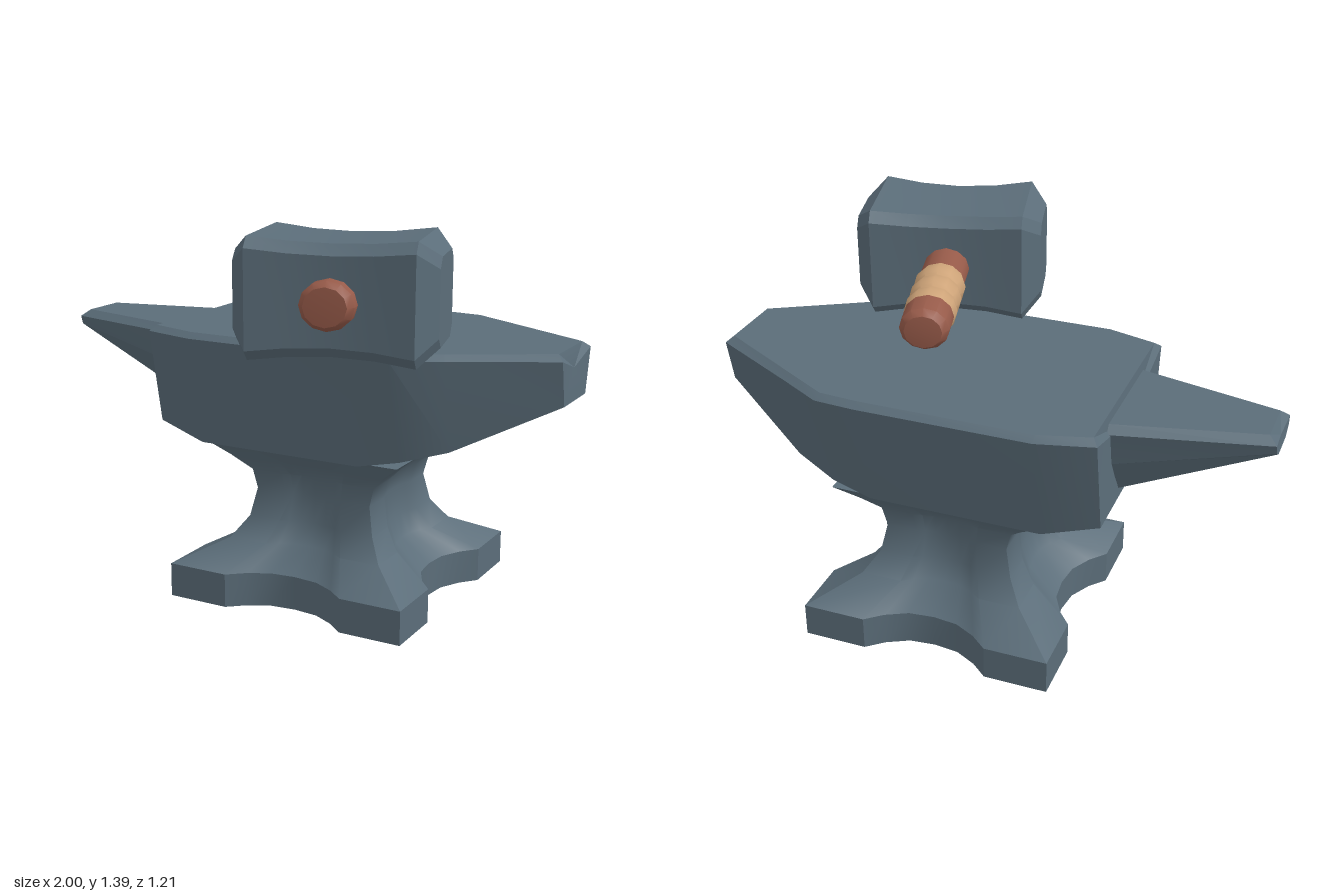
import * as THREE from 'three';
import { toCreasedNormals } from 'three/addons/utils/BufferGeometryUtils.js';

// Skin a list of rings (each counter-clockwise seen from the last ring's end) and cap both ends.
function loft(rings, crease) {
  const pos = [];
  const tri = (...pts) => pts.forEach((p) => pos.push(p[0], p[1], p[2]));
  const n = rings[0].length;
  const centre = (ring) => [0, 1, 2].map((k) => ring.reduce((s, p) => s + p[k], 0) / n);
  const first = rings[0], last = rings[rings.length - 1];
  const c0 = centre(first), c1 = centre(last);
  for (let i = 0; i < n; i++) {
    const j = (i + 1) % n;
    for (let r = 0; r < rings.length - 1; r++) {
      const a = rings[r], b = rings[r + 1];
      tri(a[i], a[j], b[j]);
      tri(a[i], b[j], b[i]);
    }
    tri(c0, first[j], first[i]);
    tri(c1, last[i], last[j]);
  }
  const g = new THREE.BufferGeometry();
  g.setAttribute('position', new THREE.Float32BufferAttribute(pos, 3));
  g.computeVertexNormals();
  return toCreasedNormals(g, crease);
}

// Ring across the x axis from [x, y, halfWidth] points listed top to bottom, mirrored in z.
function mirrorRing(half) {
  return [
    ...half.map(([x, y, h]) => [x, y, h]),
    ...half.slice().reverse().map(([x, y, h]) => [x, y, -h]),
  ];
}

// Four-footed plan: a rectangle whose sides are scooped inwards by the given depth.
function footRing(y, hx, hz, depth) {
  const side = [[-1, 0], [-0.5, 0], [-0.37, 0.5], [-0.2, 0.9], [0, 1], [0.2, 0.9], [0.37, 0.5], [0.5, 0]];
  const ring = [];
  for (let k = 0; k < 4; k++) {
    for (const [t, d] of side) {
      let x = t, z = 1 - d * depth;
      for (let q = 0; q < k; q++) [x, z] = [z, -x];
      ring.push([x * hx, y, z * hz]);
    }
  }
  return ring;
}

export function createModel() {
  const steel = new THREE.MeshStandardMaterial({ color: 0x5b6d79 });
  steel.name = 'steel';
  const wood = new THREE.MeshStandardMaterial({ color: 0x965a49 });
  wood.name = 'reddish wood';
  const wrap = new THREE.MeshStandardMaterial({ color: 0xcda378 });
  wrap.name = 'tan wrap';

  const model = new THREE.Group();
  const add = (parent, name, geometry, material) => {
    const mesh = new THREE.Mesh(geometry, material);
    mesh.name = name;
    parent.add(mesh);
    return mesh;
  };

  // Anvil
  const anvil = new THREE.Group();
  anvil.name = 'anvil';
  anvil.position.z = -0.153;
  model.add(anvil);

  // Feet and flared waist: y, half x, half z, scoop depth
  const waist = [
    [0, 0.465, 0.463, 0.22],
    [0.125, 0.465, 0.463, 0.22],
    [0.207, 0.305, 0.305, 0.18],
    [0.285, 0.252, 0.25, 0.13],
    [0.39, 0.23, 0.23, 0.09],
    [0.46, 0.248, 0.235, 0.07],
    [0.52, 0.31, 0.285, 0.04],
    [0.58, 0.385, 0.34, 0],
  ].map((s) => footRing(...s));
  add(anvil, 'footedBase', loft(waist, 0.65), steel).position.x = 0.115;

  // Working block: x, bottom y, bottom half width, top half width, x of the bevelled top
  const block = [
    [-0.48, 0.62, 0.31, 0.38, -0.46],
    [-0.28, 0.57, 0.345, 0.43, -0.28],
    [0.35, 0.57, 0.345, 0.43, 0.35],
    [0.5, 0.6, 0.325, 0.42, 0.49],
    [0.66, 0.645, 0.27, 0.33, 0.65],
    [1, 0.81, 0.11, 0.145, 0.977],
  ].map(([x, yb, hb, ht, xt]) => mirrorRing([[xt, 0.99, ht - 0.024], [x, 0.97, ht], [x, yb, hb]]));
  add(anvil, 'workingBlock', loft(block, 0.42), steel);

  // Tapered horn
  const horn = [
    mirrorRing([[-0.97, 0.957, 0.085], [-1, 0.932, 0.11], [-1, 0.9, 0.1], [-1, 0.875, 0.06]]),
    mirrorRing([[-0.45, 0.957, 0.205], [-0.45, 0.932, 0.235], [-0.45, 0.8, 0.205], [-0.45, 0.645, 0.11]]),
  ];
  add(anvil, 'horn', loft(horn, 0.2), steel);

  // Hammer lying across the anvil, handle along its own z
  const hammer = new THREE.Group();
  hammer.name = 'hammer';
  hammer.position.set(0.36, 1.195, 0.32);
  hammer.rotation.y = 0.253;
  model.add(hammer);

  // Head: x, half height, half depth, with small chamfers along the long edges
  const head = [
    [-0.337, 0.145, 0.13], [-0.275, 0.2, 0.215], [-0.14, 0.186, 0.196], [0, 0.181, 0.188],
    [0.14, 0.186, 0.196], [0.275, 0.2, 0.215], [0.337, 0.145, 0.13],
  ].map(([x, h, d]) => mirrorRing([[x, h, d - 0.035], [x, h - 0.035, d], [x, 0.035 - h, d], [x, -h, d - 0.035]]));
  add(hammer, 'hammerHead', loft(head, 0.35), steel);

  // Turned handle parts: [radius, distance along the handle]
  const turned = (name, profile, material) => {
    const g = new THREE.LatheGeometry(profile.map(([r, v]) => new THREE.Vector2(r, v)), 12);
    g.rotateX(Math.PI / 2);
    g.scale(1.12, 1, 1);
    add(hammer, name, toCreasedNormals(g, 0.6), material).position.y = -0.003;
  };
  turned('handleButt', [[0, -0.735], [0.058, -0.728], [0.076, -0.7], [0.077, -0.58], [0, -0.58]], wood);
  turned('handleNeck', [[0, -0.35], [0.074, -0.35], [0.074, -0.1], [0, -0.1]], wood);
  turned('handleTip', [[0, 0.1], [0.081, 0.1], [0.081, 0.235], [0.064, 0.262], [0, 0.266]], wood);

  // Wrapped grip with three soft bulges
  const grip = [[0.06, -0.615]];
  for (let i = 0; i <= 18; i++) {
    grip.push([0.073 + 0.009 * Math.abs(Math.sin((i / 18) * Math.PI * 3)), -0.612 + (i / 18) * 0.294]);
  }
  grip.push([0.06, -0.315]);
  turned('wrappedGrip', grip, wrap);

  return model;
}
